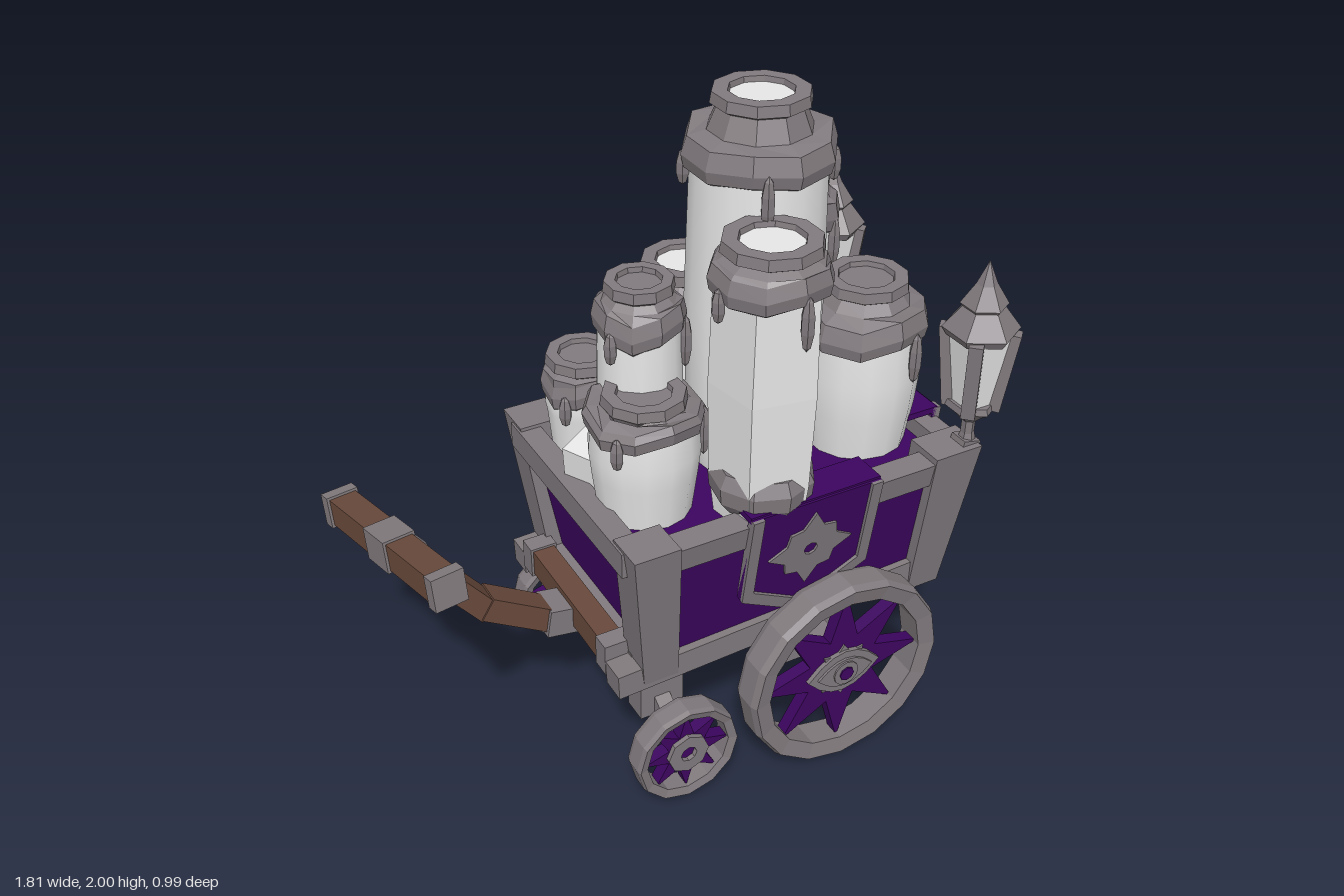
import * as THREE from 'three';

const mat = (name, color, flatShading = true) => {
  const m = new THREE.MeshStandardMaterial({ color, flatShading });
  m.name = name;
  return m;
};

export function createModel() {
  const root = new THREE.Group();
  root.name = 'candleCart';
  const grey = mat('warm grey', 0x817a7e);
  const purple = mat('deep purple', 0x3d0560);
  const brown = mat('brown wood', 0x694a3c);
  const white = mat('pale wax', 0xf8f8f8, false);
  const V = (x, y, z) => new THREE.Vector3(x, y, z);

  const add = (parent, name, geo, m, x = 0, y = 0, z = 0) => {
    const mesh = new THREE.Mesh(geo, m);
    mesh.name = name;
    mesh.position.set(x, y, z);
    parent.add(mesh);
    return mesh;
  };
  const group = (parent, name, x = 0, y = 0, z = 0) => {
    const g = new THREE.Group();
    g.name = name;
    g.position.set(x, y, z);
    parent.add(g);
    return g;
  };
  const box = (parent, name, m, w, h, d, x, y, z) =>
    add(parent, name, new THREE.BoxGeometry(w, h, d), m, x, y, z);
  // Box running from point a to point b
  const beam = (parent, name, m, a, b, w, h = w) => {
    const mid = a.clone().add(b).multiplyScalar(0.5);
    const mesh = box(parent, name, m, w, h, a.distanceTo(b), mid.x, mid.y, mid.z);
    mesh.quaternion.setFromRotationMatrix(new THREE.Matrix4().lookAt(b, a, V(0, 1, 0)));
    return mesh;
  };
  // Block with different rectangles [x0, x1, z0, z1] at bottom and top
  const taper = (parent, name, m, y0, lo, y1, hi) => {
    const geo = new THREE.BoxGeometry(1, 1, 1), p = geo.attributes.position;
    for (let i = 0; i < p.count; i++) {
      const up = p.getY(i) > 0, r = up ? hi : lo;
      p.setXYZ(i, r[p.getX(i) > 0 ? 1 : 0], up ? y1 : y0, r[p.getZ(i) > 0 ? 3 : 2]);
    }
    geo.computeVertexNormals();
    return add(parent, name, geo, m);
  };
  const facet = geo => {
    const flat = geo.toNonIndexed();
    flat.computeVertexNormals();
    return flat;
  };
  const lathe = (pts, n) => new THREE.LatheGeometry(pts.map(p => new THREE.Vector2(...p)), n);
  const plate = (shape, depth) => new THREE.ExtrudeGeometry(shape, { depth, bevelEnabled: false, curveSegments: 6 });
  const poly = pts => new THREE.Shape(pts.map(p => new THREE.Vector2(...p)));
  const star = (n, radius) => poly(Array.from({ length: n }, (_, i) => {
    const a = Math.PI / 2 + i * Math.PI * 2 / n, r = radius(i);
    return [Math.cos(a) * r, Math.sin(a) * r];
  }));
  const almond = (w, h) => {
    const s = new THREE.Shape();
    s.moveTo(-w, 0);
    s.quadraticCurveTo(0, -2 * h, w, 0);
    s.quadraticCurveTo(0, 2 * h, -w, 0);
    return s;
  };

  // Cart body: sloping purple tub with a grey frame
  const cart = group(root, 'cartBody');
  taper(cart, 'tub', purple, 0.45, [-0.2, 0.72, -0.325, 0.325], 0.89, [-0.27, 0.77, -0.385, 0.385]);
  box(cart, 'underside', purple, 0.84, 0.12, 0.44, 0.24, 0.4, 0);
  for (const s of [-1, 1]) {
    const zr = (a, b) => s > 0 ? [a, b] : [-b, -a];
    taper(cart, 'handleEndPost', grey, 0.45, [-0.25, -0.14, ...zr(0.25, 0.36)], 0.95, [-0.31, -0.17, ...zr(0.3, 0.425)]);
    taper(cart, 'lanternEndPost', grey, 0.44, [0.66, 0.77, ...zr(0.25, 0.36)], 0.96, [0.66, 0.82, ...zr(0.3, 0.425)]);
    taper(cart, 'topRail', grey, 0.86, [-0.25, 0.76, ...zr(0.33, 0.405)], 0.94, [-0.25, 0.76, ...zr(0.34, 0.42)]);
    beam(cart, 'sill', grey, V(-0.33, 0.47, s * 0.32), V(0.72, 0.51, s * 0.32), 0.08, 0.08);
    box(cart, 'axleBlock', grey, 0.16, 0.14, 0.08, 0.36, 0.31, s * 0.24);
    box(cart, 'steeringBlock', grey, 0.14, 0.15, 0.08, -0.15, 0.31, s * 0.24);
    beam(cart, 'steeringArm', grey, V(-0.15, 0.3, s * 0.24), V(-0.15, 0.21, s * 0.38), 0.05);
  }
  for (const [x0, x1] of [[-0.225, -0.28], [0.735, 0.785]]) {
    beam(cart, 'endTopRail', grey, V(x1, 0.9, -0.36), V(x1, 0.9, 0.36), 0.07, 0.08);
    beam(cart, 'endSill', grey, V(x0, 0.48, -0.3), V(x0, 0.48, 0.3), 0.07, 0.08);
  }
  box(cart, 'rearAxle', grey, 0.09, 0.08, 0.8, 0.36, 0.335, 0);
  for (const x of [-0.15, 0.62]) box(cart, 'underBeam', grey, 0.09, 0.07, 0.44, x, 0.345, 0);
  box(cart, 'underBoard', brown, 0.1, 0.04, 0.34, 0.1, 0.29, 0);
  // Brown bars across both ends
  for (const [x, name] of [[0.755, 'lanternEndBar'], [-0.29, 'handleEndBar']]) {
    box(cart, name, brown, 0.07, 0.085, 0.46, x, 0.51, 0);
    for (const s of [-1, 1]) box(cart, 'endBarCap', grey, 0.085, 0.1, 0.06, x, 0.51, s * 0.25);
  }
  box(cart, 'endBarClasp', grey, 0.1, 0.12, 0.1, 0.75, 0.5, 0);
  box(cart, 'endBarPeg', brown, 0.06, 0.1, 0.08, 0.65, 0.4, 0);

  // Banners draped over three sides
  const banner = (x, z, yaw, lean) => {
    const g = group(root, 'banner', x, 0.97, z);
    g.rotation.set(lean, yaw, 0, 'YXZ');
    const cloth = [[-0.21, 0], [-0.21, -0.31], [0, -0.43], [0.21, -0.31], [0.21, 0]];
    add(g, 'cloth', plate(poly(cloth), 0.02), purple, 0, 0, -0.02);
    add(g, 'trim', plate(poly([...cloth, [0.175, 0], [0.175, -0.285], [0, -0.385], [-0.175, -0.285], [-0.175, 0]]), 0.03),
      grey, 0, 0, -0.02);
    const fold = box(g, 'fold', purple, 0.42, 0.02, 0.11, 0, -0.012, -0.06);
    fold.rotation.x = -lean;
    const emblem = star(16, i => i % 4 === 0 ? 0.138 : i % 2 === 0 ? 0.105 : 0.088);
    emblem.holes.push(star(8, () => 0.022));
    add(g, 'emblem', plate(emblem, 0.007), grey, 0, -0.18, 0);
  };
  banner(0.25, 0.435, 0, 0.15);
  banner(0.25, -0.435, Math.PI, 0.15);
  banner(0.825, 0, Math.PI / 2, 0.1);

  // Wheels
  const wheel = (name, x, y, s, z, r, width, big) => {
    const g = group(root, name, x, y, s * z);
    if (s < 0) g.rotation.y = Math.PI;
    const h = width / 2, ri = r * 0.81;
    const rim = lathe([[ri, -h * 0.8], [r * 0.97, -h], [r, -h * 0.6], [r, h * 0.6], [r * 0.97, h], [ri, h * 0.8], [ri, -h * 0.8]], big ? 16 : 12);
    add(g, 'rim', rim.rotateX(Math.PI / 2), grey);
    add(g, 'spokes', plate(star(16, i => i % 2 ? r * 0.38 : r * 0.86), 0.04), purple, 0, 0, -0.02);
    if (big) {
      add(g, 'eyeRays', plate(star(16, i => i % 2 ? 0.065 : 0.095), 0.006), grey, 0, 0, 0.02);
      add(g, 'eyeBase', plate(almond(0.125, 0.075), 0.014), grey, 0, 0, 0.02);
      add(g, 'eyeball', plate(almond(0.095, 0.05), 0.007), grey, 0, 0, 0.034);
      add(g, 'iris', plate(star(12, () => 0.042), 0.012), grey, 0, 0, 0.034);
      add(g, 'pupil', plate(star(8, () => 0.024), 0.004), purple, 0, 0, 0.046);
    } else {
      add(g, 'innerHub', new THREE.CylinderGeometry(0.045, 0.025, 0.07, 8).rotateX(Math.PI / 2), purple, 0, 0, -0.05);
      const ring = star(8, () => 0.066);
      ring.holes.push(star(8, () => 0.026));
      add(g, 'hubRing', plate(ring, 0.02), grey, 0, 0, 0.015);
    }
  };
  for (const s of [-1, 1]) {
    wheel('largeWheel', 0.36, 0.33, s, 0.44, 0.325, 0.11, true);
    wheel('smallWheel', -0.15, 0.205, s, 0.41, 0.165, 0.08, false);
  }

  // Pull handle with a crossbar
  const handle = group(root, 'pullHandle');
  beam(handle, 'socket', grey, V(-0.22, 0.47, 0), V(-0.4, 0.5, 0), 0.11, 0.09);
  beam(handle, 'lowerShaft', brown, V(-0.37, 0.49, 0), V(-0.58, 0.62, 0), 0.085, 0.075);
  beam(handle, 'upperShaft', brown, V(-0.57, 0.6, 0), V(-0.78, 0.87, 0), 0.075, 0.07);
  const a = V(-0.87, 0.87, -0.31), b = V(-0.775, 0.965, 0.31);
  const at = t => a.clone().lerp(b, t);
  beam(handle, 'crossbar', brown, at(0.04), at(0.96), 0.08);
  for (const [t0, t1] of [[0, 0.06], [0.41, 0.59], [0.94, 1]]) beam(handle, 'crossbarBand', grey, at(t0), at(t1), 0.095);
  beam(handle, 'joint', grey, V(-0.82, 0.92, 0), V(-0.75, 0.83, 0), 0.09);

  // Candles: wax body, uneven collar, neck with a pale or grey top, and drips
  const candle = (name, x, z, r, y1, top, neck, topMat, drips = 3, sides = 14) => {
    const g = group(root, name, x, 0, z);
    const body = lathe([[r * 0.84, 0.88], [r * 0.95, 1.02], [r, (1 + y1) / 2], [r * 0.95, y1]], sides);
    add(g, 'wax', sides < 8 ? facet(body) : body, white).rotation.y = 0.47;
    const k = Math.min(0.06, (top - y1) * 0.45);
    const lid = lathe([[r * 0.94, y1 - 0.035], [r * 1.04, y1 - 0.025], [r * 1.08, y1 + 0.01], [r, y1 + k],
      [neck * 1.15, y1 + k * 1.15], [neck * 0.95, top - 0.04], [neck * 1.1, top - 0.03], [neck * 1.06, top],
      [neck * 0.72, top], [neck * 0.68, top - 0.025]], 10);
    const p = lid.attributes.position;
    for (let i = 0; i < p.count; i++) {
      const t = Math.atan2(p.getZ(i), p.getX(i)) + x * 9;
      if (p.getY(i) < y1 + k * 1.1) p.setY(i, p.getY(i) + 0.012 * Math.sin(3 * t) + 0.008 * Math.cos(2 * t));
    }
    add(g, 'collar', lid, grey);
    add(g, 'candleTop', new THREE.CircleGeometry(neck * 0.72, 10).rotateX(-Math.PI / 2), topMat, 0, top - 0.015, 0);
    for (let i = 0; i < drips; i++) {
      const t = 0.9 + x * 4 + i * Math.PI * 2 / drips, len = 0.05 + 0.03 * ((i + 1) % 2);
      const drop = new THREE.SphereGeometry(1, 6, 5).scale(0.02, len, 0.02);
      add(g, 'drip', drop, grey, Math.cos(t) * r * 1.03, y1 - len * 0.8, Math.sin(t) * r * 1.03);
    }
    return g;
  };
  candle('tallCandle', 0.275, 0.025, 0.195, 1.83, 2, 0.125, white, 4, 18);
  const front = candle('facetedCandle', 0.15, 0.3, 0.155, 1.62, 1.73, 0.125, white, 4, 5);
  add(front, 'foot', lathe([[0.115, 0.93], [0.145, 0.97], [0.15, 1.02], [0.13, 1.06], [0.1, 1.06]], 9), grey);
  candle('backCandle', 0.55, -0.22, 0.135, 1.49, 1.63, 0.1, white);
  candle('wideCandle', 0.2, -0.235, 0.172, 1.29, 1.42, 0.12, white);
  candle('endCandle', 0.6, 0.1, 0.178, 1.28, 1.42, 0.115, grey);
  candle('smallCandle', -0.13, -0.24, 0.115, 1.1, 1.2, 0.1, grey);
  candle('slimCandle', -0.07, 0, 0.122, 1.41, 1.53, 0.09, grey);
  candle('stoutCandle', -0.12, 0.12, 0.158, 1.19, 1.26, 0.11, grey);
  // Loose wax blocks between the candles
  for (const [x, z, y, w, turn] of [[0.66, -0.17, 1.12, 0.17, 0.4], [0.0, -0.32, 1.03, 0.14, 0.8], [0.41, -0.32, 1.05, 0.12, 0.2], [-0.2, -0.02, 1.04, 0.13, 0.5]]) {
    const m = box(root, 'waxBlock', white, w, y - 0.86, w, x, (y + 0.86) / 2, z);
    m.rotation.set(0.06, turn, 0.1);
  }

  // Lanterns on the two end corners
  for (const s of [-1, 1]) {
    const g = group(root, 'lantern', 0.8, 0, s * 0.375);
    beam(g, 'bracket', grey, V(-0.03, 0.84, 0), V(0.0, 0.97, 0), 0.06);
    add(g, 'stem', lathe([[0.035, 0.93], [0.02, 0.99], [0.02, 1.03], [0.05, 1.06], [0.075, 1.08], [0.07, 1.1], [0, 1.1]], 6), grey);
    const glass = facet(new THREE.CylinderGeometry(0.105, 0.07, 0.24, 4));
    add(g, 'glass', glass, white, 0, 1.205, 0).rotation.y = Math.PI / 4;
    for (const x of [-1, 1]) for (const z of [-1, 1])
      beam(g, 'bar', grey, V(x * 0.044, 1.08, z * 0.044), V(x * 0.066, 1.33, z * 0.066), 0.04);
    add(g, 'roof', lathe([[0, 1.31], [0.095, 1.31], [0.11, 1.335], [0.06, 1.4], [0.068, 1.41], [0.03, 1.47], [0, 1.54]], 6), grey);
  }
  return root;
}
